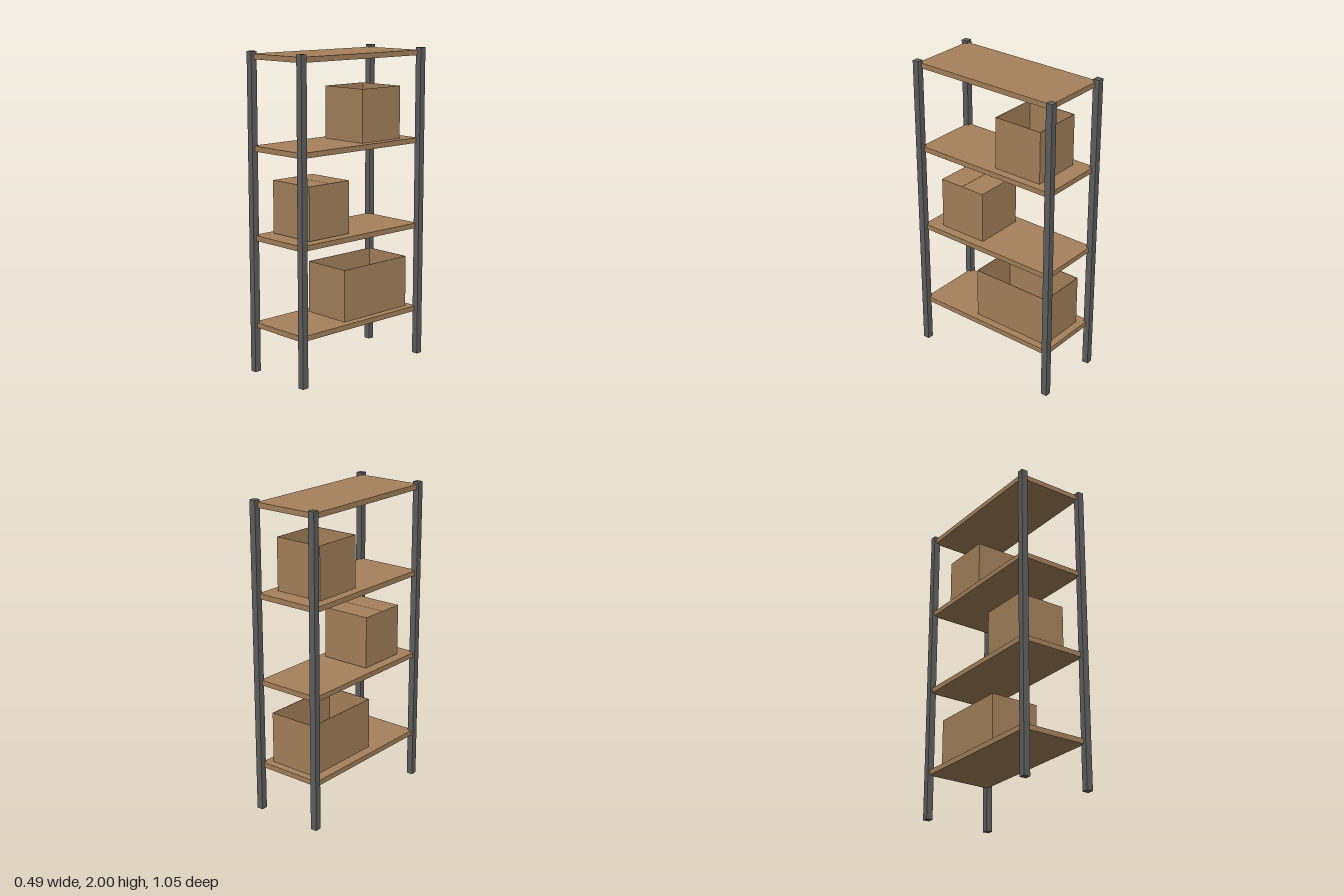
import * as THREE from 'three';

export function createModel() {
  const model = new THREE.Group();
  model.name = 'storageShelf';
  const brown = new THREE.MeshStandardMaterial({ name: 'brown board', color: 0xa6825c });
  const grey = new THREE.MeshStandardMaterial({ name: 'grey metal', color: 0x606060 });

  const block = (parent, name, material, size, position) => {
    const mesh = new THREE.Mesh(new THREE.BoxGeometry(...size), material);
    mesh.name = name;
    mesh.position.set(...position);
    parent.add(mesh);
  };

  // Four corner posts
  for (const x of [-0.223, 0.223]) {
    for (const z of [-0.502, 0.502]) {
      block(model, 'post', grey, [0.042, 2, 0.042], [x, 1, z]);
    }
  }

  // Four shelf boards
  for (const y of [0.302, 0.857, 1.412, 1.967]) {
    block(model, 'shelf', brown, [0.443, 0.033, 0.997], [-0.007, y, 0.003]);
  }

  // Thin-walled carton: floor, four walls and, when closed, two flaps meeting in a seam
  const carton = (name, x, y, z, depth, closed) => {
    const w = 0.33, h = 0.333, t = 0.004;
    const group = new THREE.Group();
    group.name = name;
    group.position.set(x, y, z);
    block(group, 'floor', brown, [w - 2 * t, t, depth - 2 * t], [0, t / 2, 0]);
    for (const s of [-1, 1]) {
      block(group, 'sideWall', brown, [t, h, depth], [s * (w - t) / 2, h / 2, 0]);
      block(group, 'endWall', brown, [w - 2 * t, h, t], [0, h / 2, s * (depth - t) / 2]);
      if (closed) {
        const flap = depth / 2 - t - 0.001;
        block(group, 'flap', brown, [w - 2 * t, t, flap], [0, h - t / 2, s * (flap / 2 + 0.001)]);
      }
    }
    model.add(group);
  };

  carton('lowerOpenCarton', 0.001, 0.319, -0.172, 0.551, false);
  carton('middleClosedCarton', -0.005, 0.878, 0.225, 0.33, true);
  carton('upperOpenCarton', -0.003, 1.429, -0.216, 0.333, false);

  return model;
}
